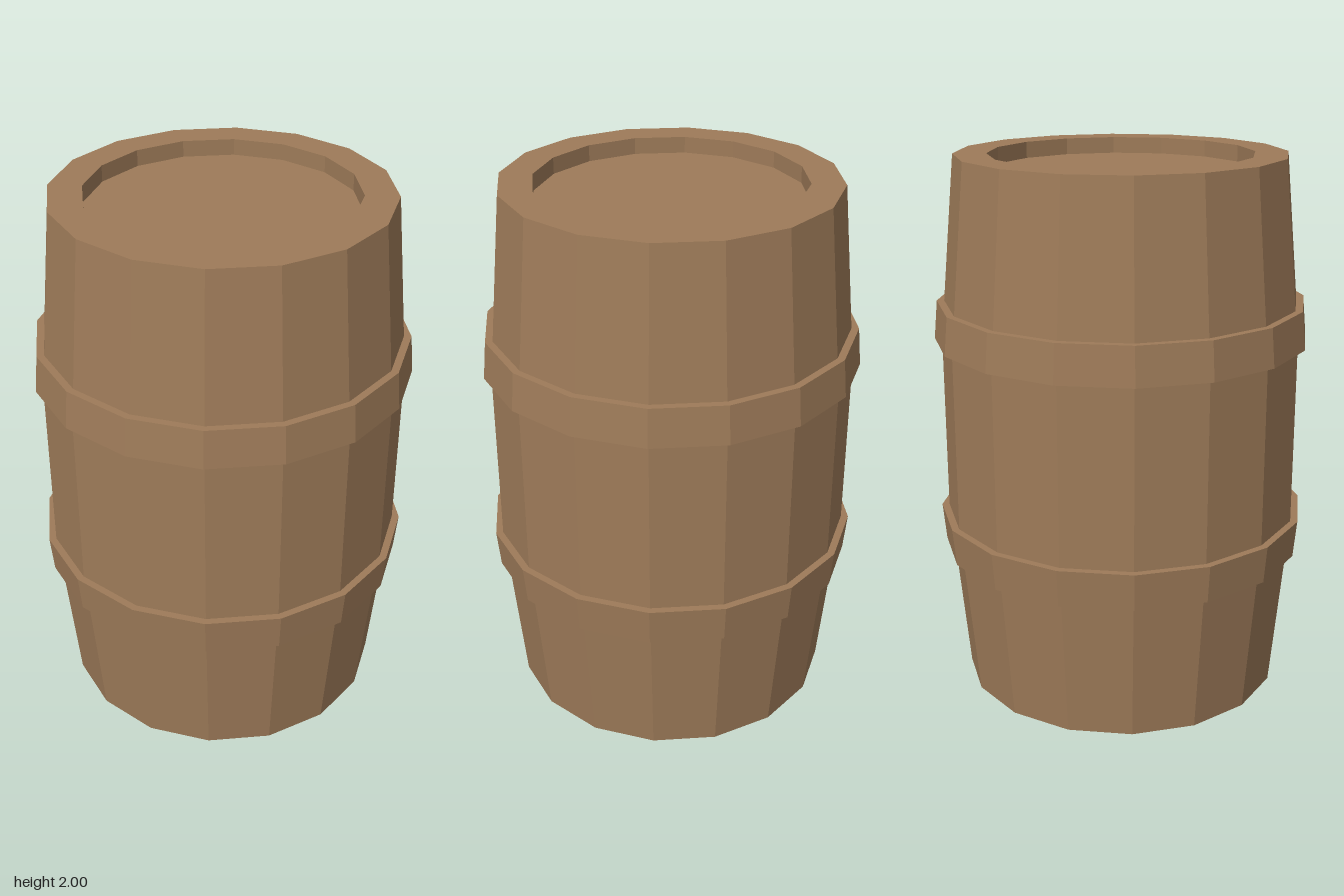
import * as THREE from 'three';

const SIDES = 16;

export function createModel() {
  const group = new THREE.Group();
  group.name = 'barrel';
  const wood = new THREE.MeshStandardMaterial({ color: 0x9e7b59, flatShading: true });

  // Turns a [radius, height] profile, listed from the bottom up, into a faceted ring
  const turn = (name, profile) => {
    const points = profile.map(([r, y]) => new THREE.Vector2(r, y));
    const mesh = new THREE.Mesh(new THREE.LatheGeometry(points, SIDES), wood);
    mesh.name = name;
    group.add(mesh);
  };

  // Staves with a straight belly, tapered ends and a recessed lid at both ends
  turn('staves', [
    [0, 0.06], [0.48, 0.06], [0.48, 0], [0.6, 0],
    [0.663, 0.67], [0.663, 1.33],
    [0.6, 2], [0.48, 2], [0.48, 1.94], [0, 1.94],
  ]);

  // Two hoops, each wider towards the belly
  turn('lowerHoop', [[0.64, 0.53], [0.677, 0.53], [0.69, 0.67], [0.655, 0.67]]);
  turn('upperHoop', [[0.655, 1.33], [0.69, 1.33], [0.677, 1.47], [0.64, 1.47]]);

  return group;
}
